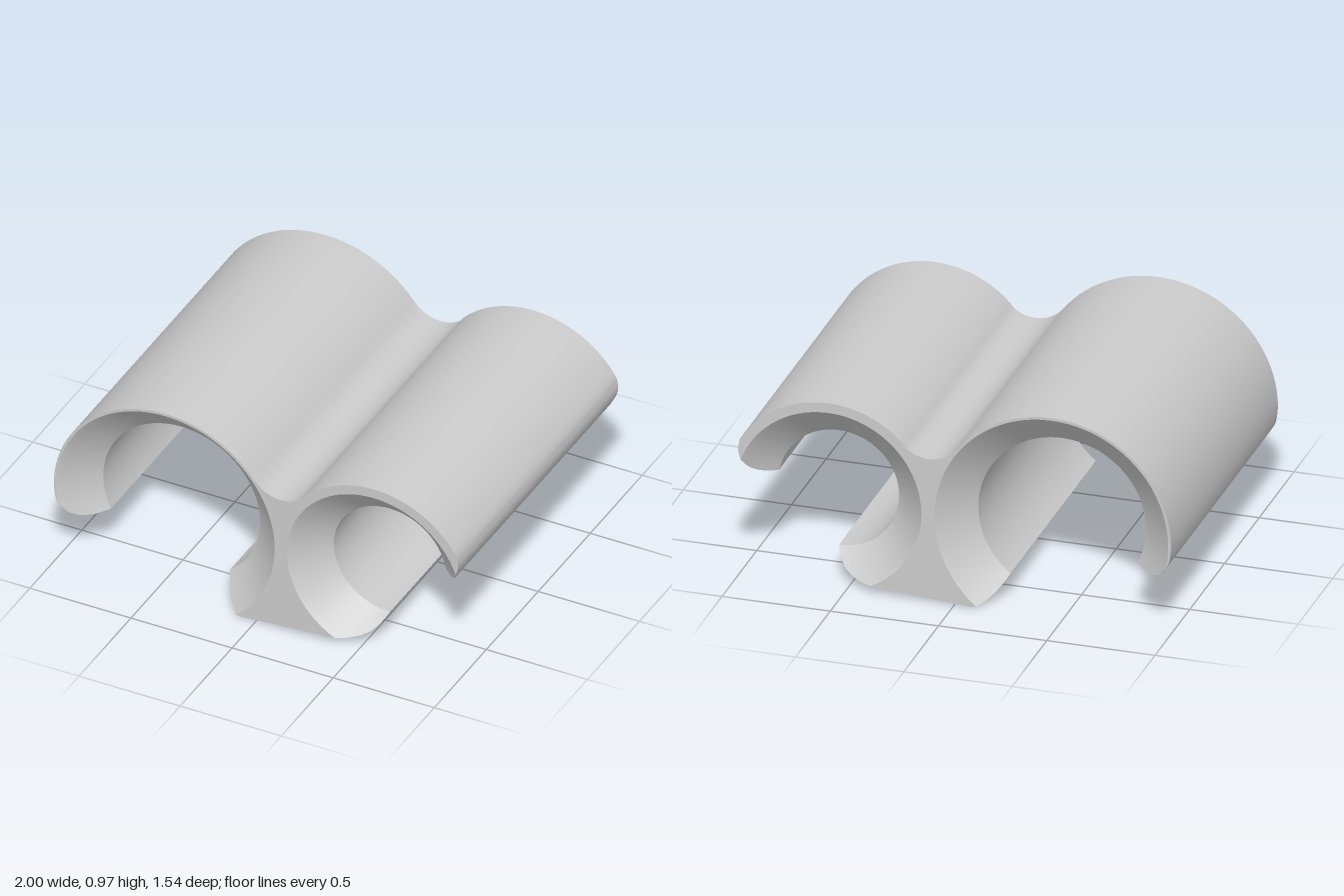
import * as THREE from 'three';
import { toCreasedNormals } from 'three/addons/utils/BufferGeometryUtils.js';

const HALF = 0.77, CHAMFER = 0.155;
// Bores: centre, radius in the middle, radius at the chamfered mouth, outer wall radius
const big = { x: -0.4475, y: 0.4175, r: 0.3875, mouth: 0.54, wall: 0.5525 };
const small = { x: 0.583, y: 0.418, r: 0.278, mouth: 0.43, wall: 0.477 };

const rad = THREE.MathUtils.degToRad;
const spline = (...p) => new THREE.SplineCurve(p.map(([x, y]) => new THREE.Vector2(x, y)));

// Points of an arc (angles in radians), both ends included
function arc(x, y, r, a0, a1, n) {
  return Array.from({ length: n + 1 }, (_, i) => {
    const a = a0 + (a1 - a0) * i / n;
    return new THREE.Vector2(x + r * Math.cos(a), y + r * Math.sin(a));
  });
}

// Rounded lips, each running from the outer wall to the bore
const sa = rad(31);
const lips = {
  bigArm: spline([-1, 0.4175], [-0.987, 0.335], [-0.935, 0.264], [-0.865, 0.24], [-0.795, 0.252]),
  smallArm: spline([small.x + small.wall * Math.cos(sa), small.y + small.wall * Math.sin(sa)],
    [0.999, 0.605], [0.972, 0.53], [0.925, 0.485], [0.86, 0.463]),
  smallFoot: spline([0.37, 0.033], [0.45, 0.039], [0.515, 0.06], [0.555, 0.094], [0.583, 0.14]),
  bigFoot: spline([-0.07, 0], [-0.105, 0.007], [-0.15, 0.036], [-0.185, 0.075], [-0.209, 0.112]),
};

// Part of a lip that lies outside a bore of radius r
function trimLip(curve, bore, r, n = 12) {
  let lo = 0, hi = 1;
  for (let i = 0; i < 30; i++) {
    const t = (lo + hi) / 2, p = curve.getPoint(t);
    if (Math.hypot(p.x - bore.x, p.y - bore.y) > r) lo = t; else hi = t;
  }
  return Array.from({ length: n + 1 }, (_, i) => curve.getPoint(lo * i / n));
}

// Bore wall between two lip ends, without the ends themselves
function boreWall(bore, r, from, to, n) {
  const a0 = Math.atan2(from.y - bore.y, from.x - bore.x);
  let a1 = Math.atan2(to.y - bore.y, to.x - bore.x);
  if (a1 < a0) a1 += Math.PI * 2;
  return arc(bore.x, bore.y, r, a0, a1, n).slice(1, -1);
}

// Clockwise outline of the clip; k = 0 in the middle, 1 at the mouth
function section(k) {
  const rb = THREE.MathUtils.lerp(big.r, big.mouth, k);
  const rs = THREE.MathUtils.lerp(small.r, small.mouth, k);
  const bigArm = trimLip(lips.bigArm, big, rb);
  const smallArm = trimLip(lips.smallArm, small, rs);
  const smallFoot = trimLip(lips.smallFoot, small, rs);
  const bigFoot = trimLip(lips.bigFoot, big, rb);
  return [
    ...bigArm.slice().reverse(),
    ...arc(big.x, big.y, big.wall, Math.PI, rad(37.3), 36).slice(1),
    ...arc(0.12, 0.851, 0.161, rad(217.3), rad(317), 14).slice(1, -1),
    ...arc(small.x, small.y, small.wall, rad(137), sa, 28).slice(0, -1),
    ...smallArm,
    ...boreWall(small, rs, smallArm.at(-1), smallFoot.at(-1), 48),
    ...smallFoot.slice().reverse(),
    ...bigFoot,
    ...boreWall(big, rb, bigFoot.at(-1), bigArm.at(-1), 52),
  ];
}

function clipGeometry() {
  // Stations along the length, closer together in the chamfers
  const steps = 6, stations = [];
  for (let i = 0; i <= steps; i++) stations.push([-HALF + CHAMFER * i / steps, 1 - i / steps]);
  for (let i = 0; i <= steps; i++) stations.push([HALF - CHAMFER + CHAMFER * i / steps, i / steps]);

  const positions = [], index = [];
  const rings = stations.map(([z, k]) => {
    const ring = section(k);
    ring.forEach((p) => positions.push(p.x, p.y, z));
    return ring;
  });
  const n = rings[0].length;

  // Skin between stations
  for (let s = 0; s < rings.length - 1; s++) {
    for (let i = 0; i < n; i++) {
      const a = s * n + i, b = s * n + (i + 1) % n;
      index.push(a, a + n, b, b, a + n, b + n);
    }
  }

  // Flat end faces
  const last = (rings.length - 1) * n;
  const outline = rings[0].slice().reverse();
  for (const face of THREE.ShapeUtils.triangulateShape(outline, [])) {
    const [a, b, c] = face.map((i) => n - 1 - i);
    index.push(last + a, last + b, last + c, a, c, b);
  }

  const geometry = new THREE.BufferGeometry();
  geometry.setAttribute('position', new THREE.Float32BufferAttribute(positions, 3));
  geometry.setIndex(index);
  return toCreasedNormals(geometry, rad(30));
}

export function createModel() {
  const group = new THREE.Group();
  group.name = 'doublePipeClip';
  const body = new THREE.Mesh(clipGeometry(), new THREE.MeshStandardMaterial({ color: 0xcccccc }));
  body.name = 'clipBody';
  group.add(body);
  return group;
}
